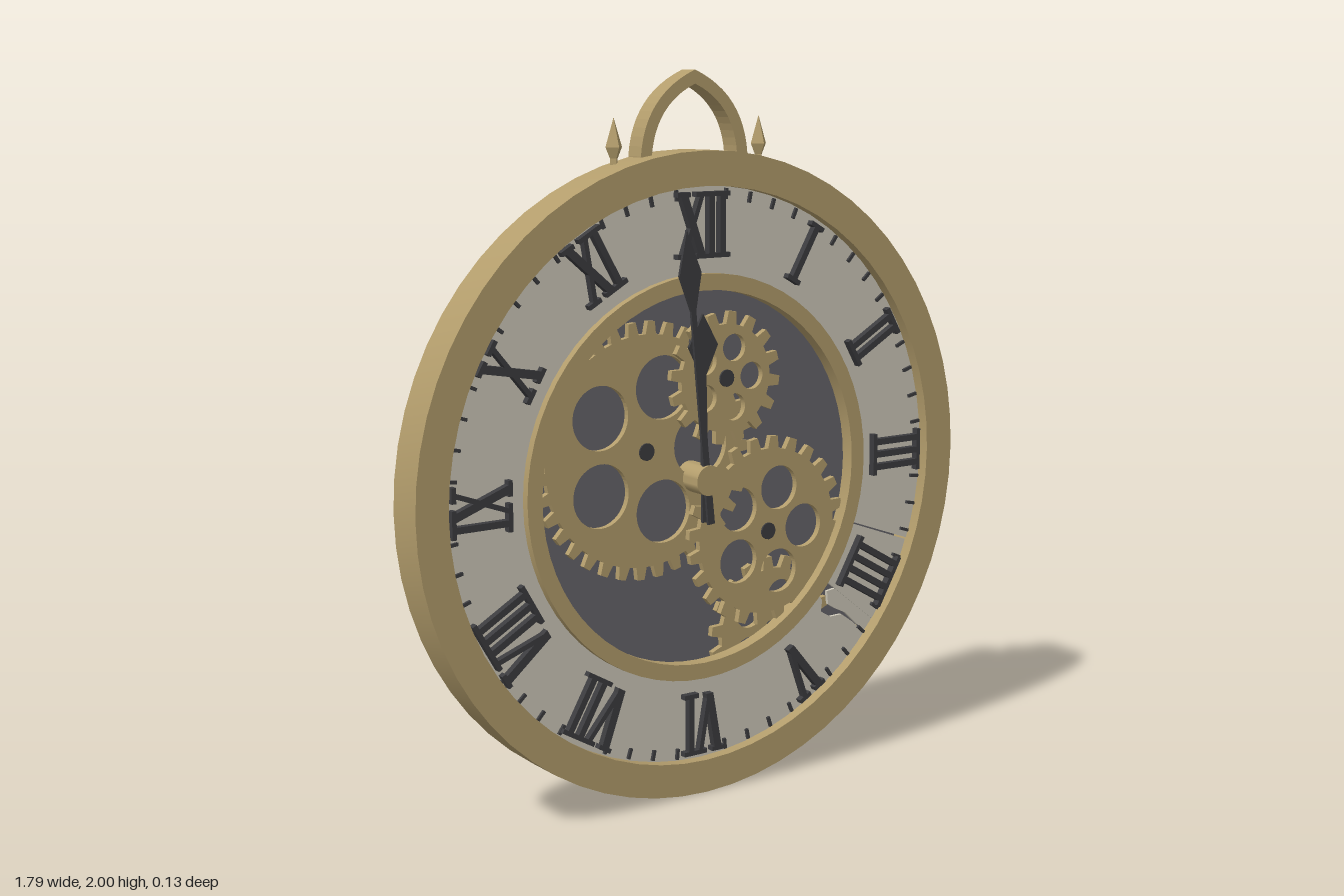
import * as THREE from 'three';
import { toCreasedNormals } from 'three/addons/utils/BufferGeometryUtils.js';

const mat = (color, side = THREE.FrontSide) => new THREE.MeshStandardMaterial({ color, side });
const GOLD = mat(0xb39d6c), DIAL = mat(0xcfcabb), PLATE = mat(0x67656a), DARK = mat(0x3c3c3f);
const CY = 0.895; // height of the clock's centre
const rad = THREE.MathUtils.degToRad;
const polar = (r, deg) => new THREE.Vector2(r * Math.cos(rad(deg)), r * Math.sin(rad(deg)));

function add(parent, name, geometry, material) {
  const mesh = new THREE.Mesh(geometry, material);
  mesh.name = name;
  parent.add(mesh);
  return mesh;
}

// Flat shape given thickness from z0 to z1
function slab(shape, z0, z1, curveSegments = 24) {
  const g = new THREE.ExtrudeGeometry(shape, { depth: z1 - z0, bevelEnabled: false, curveSegments });
  return g.translate(0, 0, z0);
}

// Ring with a rectangular section, axis along z
function ring(ri, ro, z0, z1) {
  const pts = [[ri, z0], [ro, z0], [ro, z1], [ri, z1], [ri, z0]].map(p => new THREE.Vector2(...p));
  return toCreasedNormals(new THREE.LatheGeometry(pts, 64).rotateX(Math.PI / 2), 0.6);
}

// Solid disc or pin, axis along z
function disc(r, z0, z1, sides = 24) {
  return new THREE.CylinderGeometry(r, r, z1 - z0, sides).rotateX(Math.PI / 2).translate(0, 0, (z0 + z1) / 2);
}

function gearShape(r, teeth, holeR, holeDist) {
  const pts = [], step = 360 / teeth, root = r - 0.035;
  for (let i = 0; i < teeth; i++) {
    for (const [rr, t] of [[root, 0], [root, 0.4], [r, 0.52], [r, 0.88]]) pts.push(polar(rr, (i + t) * step));
  }
  const shape = new THREE.Shape(pts);
  for (let i = 0; i < 5; i++) {
    const c = polar(holeDist, i * 72);
    shape.holes.push(new THREE.Path().absarc(c.x, c.y, holeR, 0, Math.PI * 2, true));
  }
  return shape;
}

// Sector of the dial; the jagged points close the broken end
function dialSector(from, to, brokenEnd) {
  const pts = [], n = Math.ceil((to - from) / 5);
  for (let i = 0; i <= n; i++) pts.push(polar(0.81, from + (to - from) * i / n));
  for (const p of brokenEnd) pts.push(polar(...p));
  for (let i = n; i >= 0; i--) pts.push(polar(0.55, from + (to - from) * i / n));
  return new THREE.Shape(pts);
}

// Hand pointing up: tail, thin shaft and spear-shaped blade
function handShape(tail, base, wide, tip, halfWidth) {
  return new THREE.Shape([
    [-0.011, -tail], [0.011, -tail], [0.008, base], [halfWidth, wide],
    [0, tip], [-halfWidth, wide], [-0.008, base],
  ].map(p => new THREE.Vector2(...p)));
}

// Numeral made of straight strokes with serifs
function numeral(text) {
  const group = new THREE.Group(), H = 0.165;
  const widths = { I: 0.037, V: 0.085, X: 0.085 };
  const stroke = (x0, x1, w) => {
    const s = new THREE.Shape([[x0 - w, -H / 2], [x0 + w, -H / 2], [x1 + w, H / 2], [x1 - w, H / 2]]
      .map(p => new THREE.Vector2(...p)));
    add(group, 'numeralStroke', slab(s, 0.02, 0.042), DARK);
  };
  const serif = (x, y, w) =>
    add(group, 'numeralSerif', new THREE.BoxGeometry(w, 0.013, 0.022), DARK).position.set(x, y, 0.031);
  let x = -[...text].reduce((sum, c) => sum + widths[c], 0) / 2;
  for (const c of text) {
    const m = x + widths[c] / 2, d = 0.03;
    if (c === 'I') {
      stroke(m, m, 0.009);
      for (const y of [-H / 2, H / 2]) serif(m, y, 0.048);
    } else {
      stroke(c === 'X' ? m + d : m, m - d, 0.012);
      stroke(c === 'X' ? m - d : m, m + d, 0.007);
      for (const s of [-d, d]) {
        serif(m + s, H / 2, 0.042);
        if (c === 'X') serif(m + s, -H / 2, 0.042);
      }
    }
    x += widths[c];
  }
  return group;
}

export function createModel() {
  const model = new THREE.Group();
  const clock = new THREE.Group();
  clock.name = 'clock';
  clock.position.y = CY;
  model.add(clock);

  // Case
  add(clock, 'outerRim', ring(0.8, 0.894, -0.063, 0.055), GOLD);
  add(clock, 'innerRim', ring(0.52, 0.565, 0.005, 0.045), GOLD);
  add(clock, 'backPlate', disc(0.865, -0.065, -0.03, 64), PLATE);

  // Dial with a broken-off fragment
  const jag = [[0.81, -42], [0.74, -42], [0.69, -42.5], [0.66, -45], [0.62, -46], [0.6, -43.5], [0.55, -42.5]];
  add(clock, 'dial', slab(dialSector(-19.6, 314, jag.map(([r, a]) => [r, a + 360])), 0.012, 0.022), DIAL);
  const fragmentEnd = [[0.81, -20], [0.55, -20]];
  const fragment = dialSector(-38.5, -20, fragmentEnd);
  add(clock, 'dialFragment', slab(fragment, 0.01, 0.02), DIAL);
  const sliver = [[0.82, -38.5], [0.62, -38.5], [0.6, -40.5], [0.63, -43], [0.66, -42.5], [0.7, -41.5], [0.82, -41.7]];
  add(clock, 'dialSliver', slab(new THREE.Shape(sliver.map(p => polar(...p)).reverse()), 0.008, 0.018), DIAL);

  // Numerals
  ['XII', 'I', 'II', 'III', 'IIII', 'V', 'VI', 'VII', 'VIII', 'IX', 'X', 'XI'].forEach((text, i) => {
    const n = numeral(text), p = polar(0.695, 90 - i * 30);
    n.name = 'numeral' + i;
    n.position.set(p.x, p.y, 0);
    n.rotation.z = -rad(i * 30);
    clock.add(n);
  });

  // Minute marks between the numerals
  for (let i = 0; i < 60; i++) {
    if (i % 5 === 0) continue;
    const p = polar(0.78, i * 6);
    const tick = add(clock, 'minuteMark', new THREE.BoxGeometry(0.03, 0.009, 0.012), DARK);
    tick.position.set(p.x, p.y, 0.024);
    tick.rotation.z = rad(i * 6);
  }

  // Gear train: x, y, radius, teeth, hole radius, hole distance, back z
  const gears = [
    [-0.163, 0.088, 0.355, 36, 0.088, 0.18, -0.02],
    [0.237, -0.18, 0.272, 24, 0.063, 0.127, 0],
    [0.09, 0.27, 0.185, 16, 0.038, 0.087, 0],
    [0.27, -0.475, 0.212, 18, 0.045, 0.1, -0.022],
  ];
  for (const [x, y, r, teeth, holeR, holeDist, z] of gears) {
    add(clock, 'gear', slab(gearShape(r, teeth, holeR, holeDist), z, z + 0.018), GOLD).position.set(x, y, 0);
    add(clock, 'gearAxle', disc(0.024, -0.066, z + 0.023, 16), DARK).position.set(x, y, 0);
  }

  // Hands and hub
  add(clock, 'hourHand', slab(handShape(0.12, 0.29, 0.37, 0.457, 0.048), 0.038, 0.046), DARK).rotation.z = rad(1);
  add(clock, 'minuteHand', slab(handShape(0.125, 0.47, 0.57, 0.69, 0.036), 0.05, 0.058), DARK).rotation.z = rad(5.8);
  add(clock, 'hub', toCreasedNormals(disc(0.042, -0.03, 0.066, 32), 0.6), GOLD);

  // Pointed hanging loop
  const bow = new THREE.Shape();
  bow.moveTo(0.175, 1.74);
  bow.lineTo(0.175, 1.775);
  bow.quadraticCurveTo(0.162, 1.935, 0, 2);
  bow.quadraticCurveTo(-0.162, 1.935, -0.175, 1.775);
  bow.lineTo(-0.175, 1.74);
  bow.lineTo(-0.14, 1.74);
  bow.lineTo(-0.14, 1.775);
  bow.quadraticCurveTo(-0.128, 1.91, 0, 1.963);
  bow.quadraticCurveTo(0.128, 1.91, 0.14, 1.775);
  bow.lineTo(0.14, 1.74);
  add(model, 'hangingLoop', slab(bow, -0.063, -0.003, 12), GOLD);

  // Four-sided finials beside the loop
  const finial = [[0, 1.73], [0.012, 1.73], [0.012, 1.77], [0.026, 1.8], [0, 1.877]];
  for (const s of [-1, 1]) {
    const g = new THREE.LatheGeometry(finial.map(p => new THREE.Vector2(...p)), 4);
    add(model, s > 0 ? 'leftFinial' : 'rightFinial', toCreasedNormals(g, 0.1), GOLD).position.set(s * 0.238, 0, -0.037);
  }
  return model;
}
